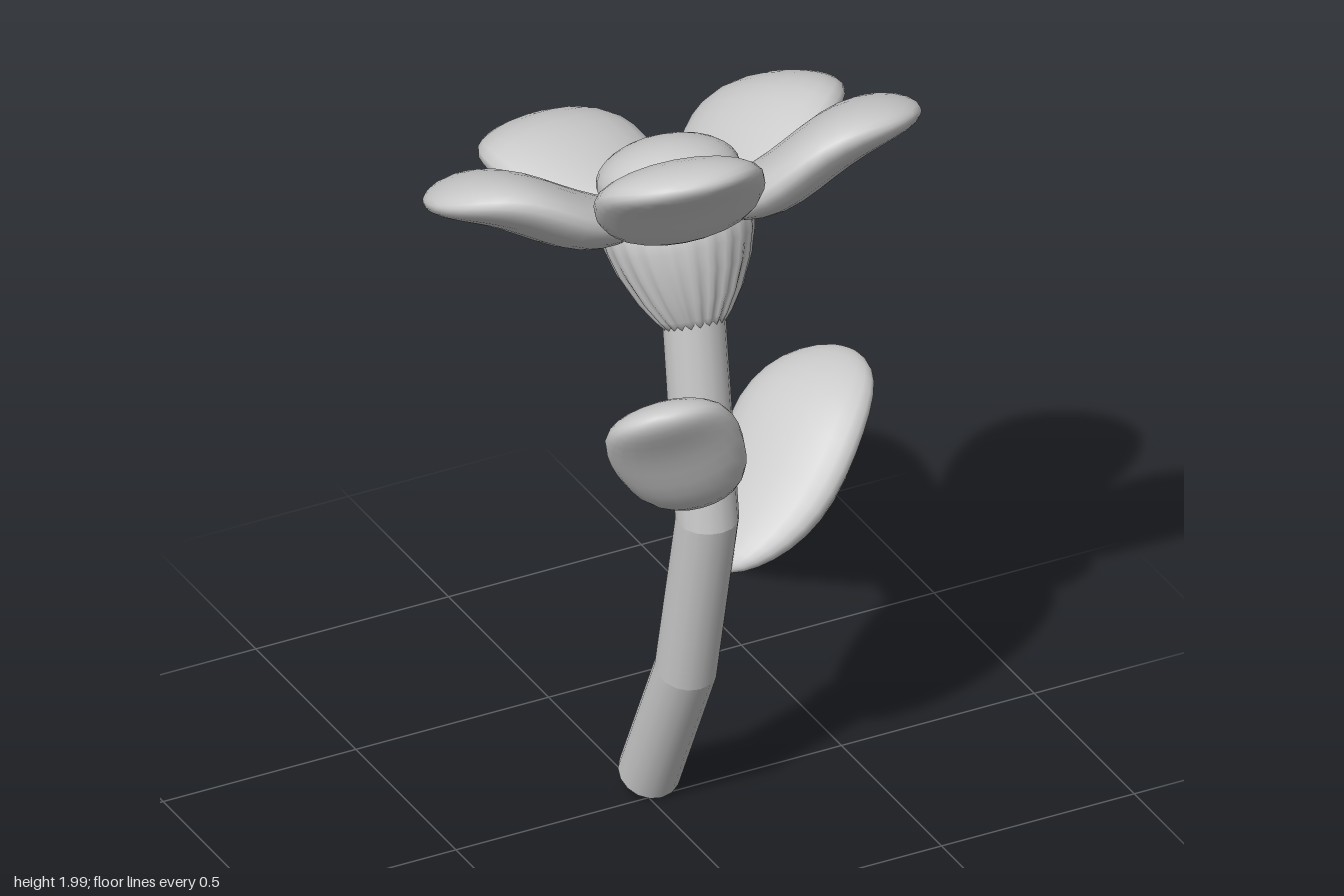
import * as THREE from 'three';
import { mergeVertices } from 'three/addons/utils/BufferGeometryUtils.js';

const material = new THREE.MeshStandardMaterial({ color: 0xcccccc });
const V = (x, y, z) => new THREE.Vector3(x, y, z);

function addMesh(parent, name, geometry) {
  const mesh = new THREE.Mesh(geometry, material);
  mesh.name = name;
  parent.add(mesh);
  return mesh;
}

// Weld the seam so the shading is smooth all round
function smooth(geometry) {
  geometry.deleteAttribute('uv');
  geometry.deleteAttribute('normal');
  const welded = mergeVertices(geometry, 1e-4);
  welded.computeVertexNormals();
  return welded;
}

// Puffy rounded blade from base to tip, bent in a gentle S; side is its width direction
function addBlade(parent, name, base, tip, side, halfWidth) {
  const dir = tip.clone().sub(base);
  const length = dir.length();
  dir.normalize();
  const up = side.clone().cross(dir).normalize();
  const across = dir.clone().cross(up);

  const geometry = new THREE.SphereGeometry(1, 22, 18).rotateZ(-Math.PI / 2);
  const p = geometry.attributes.position;
  for (let i = 0; i < p.count; i++) {
    const u = p.getX(i);
    const taper = (1 + 0.2 * u) / 1.02;
    const bend = -0.022 * Math.sin(Math.PI * (1 + u));
    p.setXYZ(i, length * (1 + u) / 2, p.getY(i) * 0.073 + bend, p.getZ(i) * halfWidth * taper);
  }
  geometry.applyMatrix4(new THREE.Matrix4().makeBasis(dir, up, across).setPosition(base));
  addMesh(parent, name, smooth(geometry));
}

// Bent stem: straight sections sharing mitred rings, given as [y, z, tilt]
function addStem(parent) {
  const rings = [[0.038, -0.05, 0.53], [0.42, 0.135, 0.33], [0.88, 0.24, 0.04], [1.42, 0.17, -0.13]];
  const stem = new THREE.Group();
  stem.name = 'stem';
  for (let s = 0; s < rings.length - 1; s++) {
    const geometry = new THREE.CylinderGeometry(0.074, 0.074, 1, 16);
    const p = geometry.attributes.position;
    for (let i = 0; i < p.count; i++) {
      const [y, z, tilt] = rings[p.getY(i) < 0 ? s : s + 1];
      const offset = p.getZ(i);
      p.setXYZ(i, 0.027 + p.getX(i), y - offset * Math.sin(tilt), z + offset * Math.cos(tilt));
    }
    // Normals stay smooth around each section
    const normals = geometry.attributes.normal;
    const lean = Math.atan2(rings[s + 1][1] - rings[s][1], rings[s + 1][0] - rings[s][0]);
    normals.applyMatrix4(new THREE.Matrix4().makeRotationX(lean));
    addMesh(stem, 'stemSection', geometry);
  }
  parent.add(stem);
}

// Fluted cup under the petals
function addCalyx(parent) {
  const flutes = 22;
  const profile = [[0, -0.02], [0.07, -0.015], [0.09, 0.01], [0.122, 0.06], [0.155, 0.13],
    [0.174, 0.19], [0.18, 0.23], [0.172, 0.27], [0.15, 0.3], [0, 0.32]].map(([r, y]) => new THREE.Vector2(r, y));
  const geometry = new THREE.LatheGeometry(profile, flutes * 4);
  const p = geometry.attributes.position;
  for (let i = 0; i < p.count; i++) {
    const x = p.getX(i), z = p.getZ(i), y = p.getY(i);
    const depth = 0.045 * Math.max(0, 1 - Math.max(0, y) / 0.27);
    const k = 1 + depth * Math.cos(flutes * Math.atan2(x, z));
    p.setXYZ(i, x * k, y, z * k);
  }
  addMesh(parent, 'calyx', smooth(geometry));
}

export function createModel() {
  const model = new THREE.Group();
  model.name = 'flower';
  addStem(model);

  // Leaves
  addBlade(model, 'leftLeaf', V(0.07, 0.72, 0.235), V(0.52, 1.06, -0.02), V(0.27, 0.1, 0.9), 0.19);
  addBlade(model, 'rightLeaf', V(0.0, 0.98, 0.28), V(-0.245, 1.365, 0.505), V(-0.88, -0.25, -0.4), 0.157);

  // Tilted flower head
  const head = new THREE.Group();
  head.name = 'flowerHead';
  head.position.set(0.029, 1.38, 0.172);
  head.rotation.x = -0.39;
  model.add(head);
  addCalyx(head);

  // Domed centre
  const dome = addMesh(head, 'flowerCentre', new THREE.SphereGeometry(0.17, 24, 16));
  dome.scale.y = 0.55;
  dome.position.y = 0.34;

  // Ring of petals: angle and reach
  for (const [degrees, reach] of [[28, 0.58], [101, 0.595], [178, 0.595], [249, 0.585], [321, 0.615]]) {
    const a = THREE.MathUtils.degToRad(degrees);
    const c = Math.cos(a), s = Math.sin(a);
    addBlade(head, 'petal', V(0.07 * c, 0.265, -0.07 * s), V(reach * c, 0.415, -reach * s), V(s, 0, c), 0.202);
  }
  return model;
}
